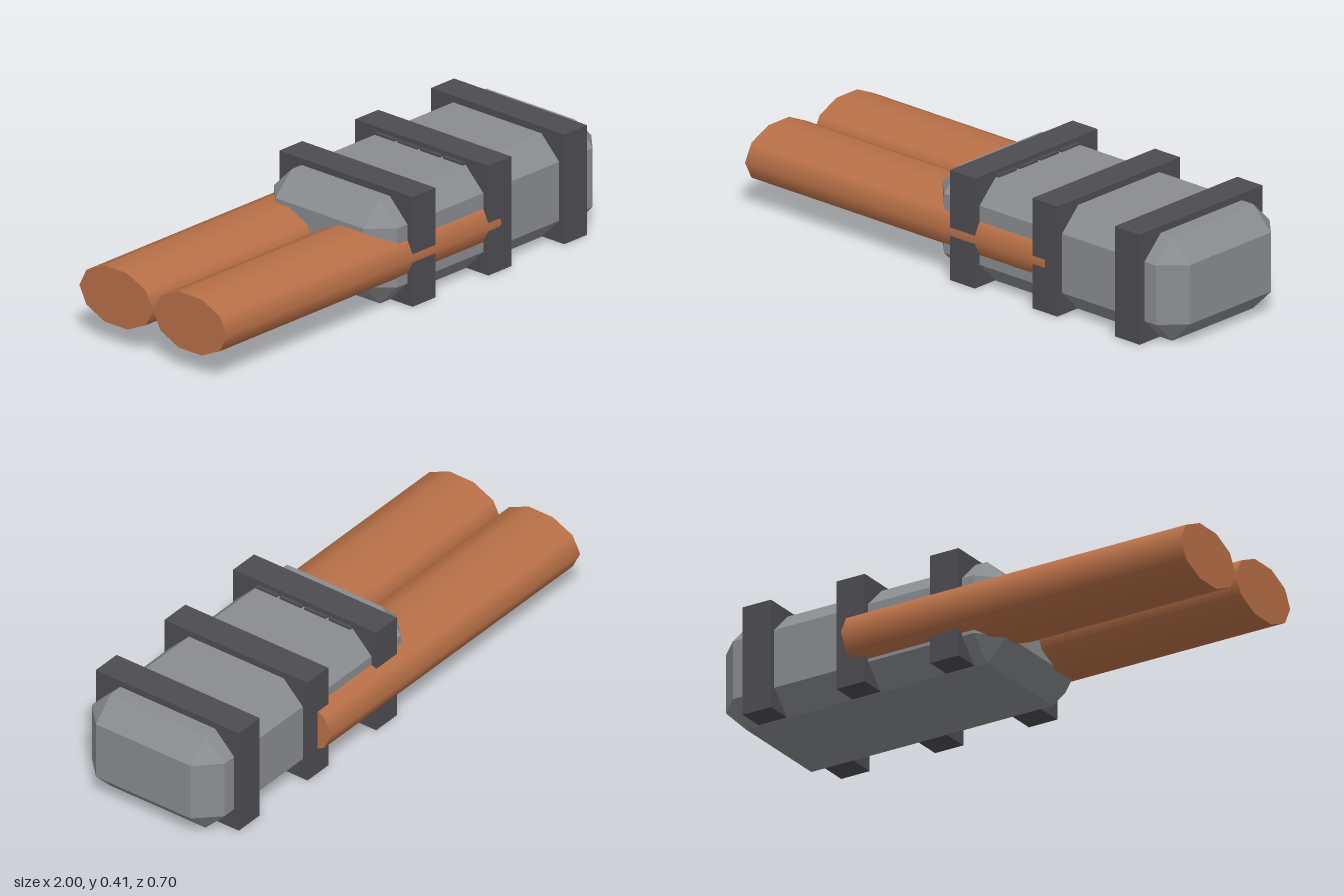
import * as THREE from 'three';
import { ConvexGeometry } from 'three/addons/geometries/ConvexGeometry.js';

const mat = (name, color) => {
  const m = new THREE.MeshStandardMaterial({ color });
  m.name = name;
  return m;
};

// Box with every edge bevelled by c, as the hull of its 24 corners
function chamferedBox(w, h, d, c) {
  const pts = [];
  for (const x of [-1, 1]) for (const y of [-1, 1]) for (const z of [-1, 1])
    for (let axis = 0; axis < 3; axis++) {
      const inset = [c, c, c];
      inset[axis] = 0;
      pts.push(new THREE.Vector3(x * (w / 2 - inset[0]), y * (h / 2 - inset[1]), z * (d / 2 - inset[2])));
    }
  return new ConvexGeometry(pts);
}

export function createModel() {
  const model = new THREE.Group();
  const grey = mat('grey casing', 0x898c8f);
  const dark = mat('dark metal', 0x4d4c51);
  const copper = mat('copper', 0xb87047);

  const add = (name, geometry, material, x, y, z) => {
    const mesh = new THREE.Mesh(geometry, material);
    mesh.name = name;
    mesh.position.set(x, y, z);
    model.add(mesh);
  };

  // Bevelled casing
  add('casing', chamferedBox(1.17, 0.39, 0.586, 0.084), grey, 0.414, 0.195, 0.024);

  // Three bands around the casing
  const band = new THREE.BoxGeometry(0.118, 0.413, 0.631);
  for (const x of [0.022, 0.412, 0.802]) add('band', band, dark, x, 0.2085, 0.0255);

  // Small tabs beside the first two bands
  const tab = new THREE.BoxGeometry(0.014, 0.012, 0.094);
  for (const x of [0.088, 0.346])
    for (let i = 0; i < 4; i++) add('tab', tab, dark, x, 0.392, -0.138 + i * 0.108);

  // Two flattened ten-sided barrels
  const barrel = new THREE.CylinderGeometry(1, 1, 1.413, 10);
  barrel.rotateZ(Math.PI / 2);
  barrel.scale(1, 0.111, 0.174);
  add('leftBarrel', barrel, copper, -0.2935, 0.184, 0.175);
  add('rightBarrel', barrel, copper, -0.2935, 0.184, -0.176);

  return model;
}
